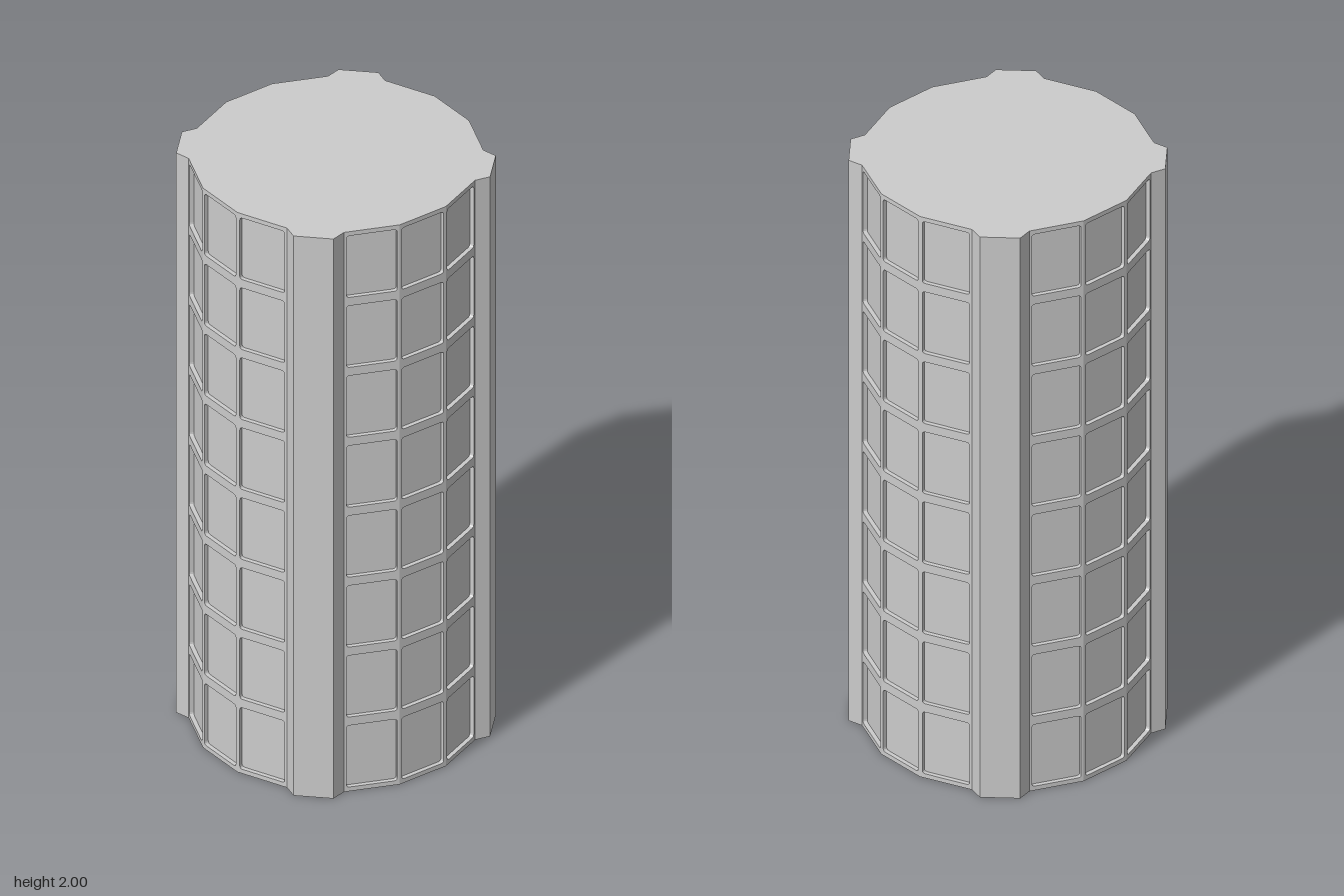
import * as THREE from 'three';

const SIDES = 16, ROWS = 8, HEIGHT = 2, RADIUS = 0.447;
const STEP = (Math.PI * 2) / SIDES;
const APOTHEM = RADIUS * Math.cos(STEP / 2);
const HALF = RADIUS * Math.sin(STEP / 2); // half the width of one wall face
const DEPTH = 0.014; // window recess

// Rounded rectangular window opening
function windowPath(x0, y0, x1, y1, r) {
  const p = new THREE.Path();
  p.moveTo(x0 + r, y0);
  p.lineTo(x1 - r, y0).quadraticCurveTo(x1, y0, x1, y0 + r);
  p.lineTo(x1, y1 - r).quadraticCurveTo(x1, y1, x1 - r, y1);
  p.lineTo(x0 + r, y1).quadraticCurveTo(x0, y1, x0, y1 - r);
  p.lineTo(x0, y0 + r).quadraticCurveTo(x0, y0, x0 + r, y0);
  return p;
}

// One flat wall face with a column of windows cut through it
function wallGeometry() {
  const wall = new THREE.Shape([
    new THREE.Vector2(-HALF, 0), new THREE.Vector2(HALF, 0),
    new THREE.Vector2(HALF, HEIGHT), new THREE.Vector2(-HALF, HEIGHT),
  ]);
  const pitch = HEIGHT / ROWS, mx = 0.008, my = 0.015;
  for (let i = 0; i < ROWS; i++) {
    wall.holes.push(windowPath(-HALF + mx, i * pitch + my, HALF - mx, (i + 1) * pitch - my, 0.01));
  }
  const g = new THREE.ExtrudeGeometry(wall, { depth: DEPTH, bevelEnabled: false, curveSegments: 3 });
  return g.translate(0, 0, APOTHEM - DEPTH);
}

// Full-height pier with a tapered section
function pierGeometry() {
  const outer = APOTHEM + 0.042, inner = APOTHEM - 0.03;
  const section = new THREE.Shape([
    [-0.061, -outer], [0.061, -outer], [HALF, -APOTHEM],
    [HALF - 0.01, -inner], [-HALF + 0.01, -inner], [-HALF, -APOTHEM],
  ].map(([x, y]) => new THREE.Vector2(x, y)));
  return new THREE.ExtrudeGeometry(section, { depth: HEIGHT, bevelEnabled: false })
    .rotateX(-Math.PI / 2);
}

export function createModel() {
  const group = new THREE.Group();
  group.name = 'tower';
  const material = new THREE.MeshStandardMaterial({ color: 0xcccccc, flatShading: true });
  const add = (name, geometry) => {
    const mesh = new THREE.Mesh(geometry, material);
    mesh.name = name;
    group.add(mesh);
    return mesh;
  };

  // Glazing core behind the window openings
  const coreRadius = (APOTHEM - DEPTH) / Math.cos(STEP / 2);
  add('windowPanes', new THREE.CylinderGeometry(coreRadius, coreRadius, HEIGHT, SIDES, 1, true))
    .position.y = HEIGHT / 2;

  // Roof and base
  add('roof', new THREE.CircleGeometry(RADIUS, SIDES).rotateX(-Math.PI / 2)).position.y = HEIGHT;
  add('base', new THREE.CircleGeometry(RADIUS, SIDES).rotateX(Math.PI / 2));

  // Every fourth face is a pier, the rest are windowed walls
  const wall = wallGeometry(), pier = pierGeometry();
  for (let i = 0; i < SIDES; i++) {
    const isPier = i % 4 === 2;
    add(isPier ? 'pier' : 'windowWall', isPier ? pier : wall).rotation.y = (i + 0.5) * STEP;
  }
  return group;
}
